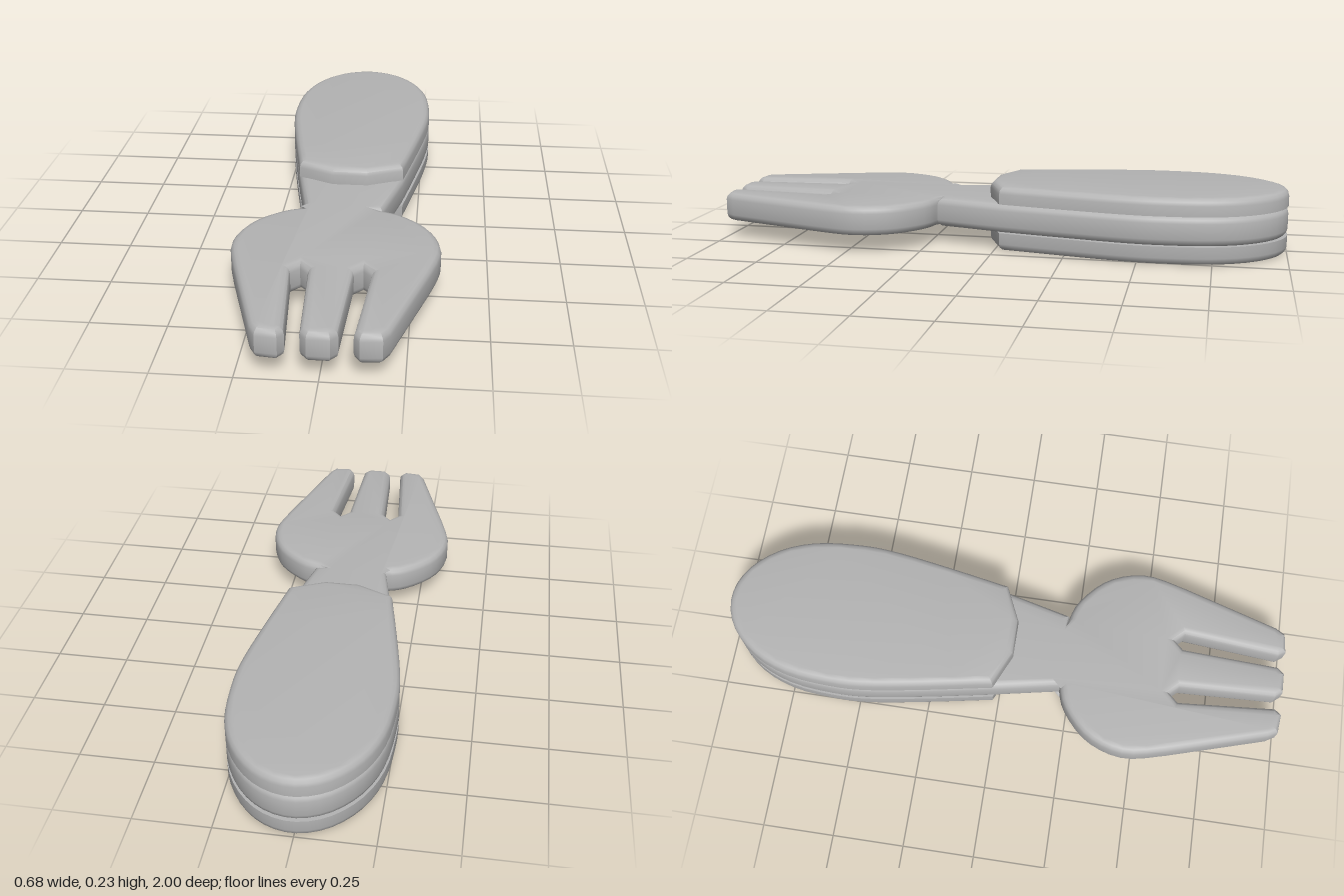
import * as THREE from 'three';
import { toCreasedNormals } from 'three/addons/utils/BufferGeometryUtils.js';

const BEVEL = 0.025;
const HANDLE_X = 0.009; // the handle sits slightly off the head's axis

// Left half of the handle from its front corner to the rear middle: [x, z]
const handleHalf = [[-0.187, -0.02], [-0.23, -0.25], [-0.262, -0.45], [-0.268, -0.58],
  [-0.252, -0.74], [-0.2, -0.87], [-0.11, -0.965], [0, -1]];
// Left half of the head, from the neck to the side of the outer tine
const shoulder = [[-0.11, 0.21], [-0.2, 0.24], [-0.3, 0.335], [-0.342, 0.47], [-0.31, 0.62]];
// Left outer tine, slot and left half of the middle tine
const tines = [[-0.205, 0.96], [-0.185, 0.993], [-0.118, 1], [-0.1, 0.975], [-0.128, 0.635],
  [-0.1, 0.605], [-0.072, 0.635], [-0.056, 0.975], [-0.035, 1]];

const mirror = (pts, cx = 0) => pts.map(([x, z]) => [2 * cx - x, z]).reverse();
const vecs = (pts, s) => pts.map(([x, z]) => new THREE.Vector2(x, z * s));

// Round rear of the handle, running from left front corner to right front corner
function handleCurve() {
  const left = handleHalf.map(([x, z]) => [x + HANDLE_X, z]);
  return [...left, ...mirror(left.slice(0, -1), HANDLE_X)];
}

// Handle plate outline with a gently bowed front edge
function scaleShape(s) {
  const pts = vecs(handleCurve(), s);
  const shape = new THREE.Shape();
  shape.moveTo(pts[0].x, pts[0].y);
  shape.splineThru(pts.slice(1));
  shape.quadraticCurveTo(HANDLE_X, 0.105 * s, pts[0].x, pts[0].y);
  return shape;
}

// Full fork outline: handle, neck, head and three tines
function forkShape(s) {
  const pts = vecs(handleCurve(), s);
  const shape = new THREE.Shape();
  shape.moveTo(pts[0].x, pts[0].y);
  shape.splineThru(pts.slice(1));
  const line = (list) => vecs(list, s).forEach((p) => shape.lineTo(p.x, p.y));
  line([[0.138, 0.215]]);
  const right = vecs(mirror(shoulder).reverse(), s);
  shape.lineTo(right[0].x, right[0].y);
  shape.splineThru(right.slice(1));
  line(mirror(tines).reverse());
  line([...tines].reverse());
  const left = vecs([...shoulder].reverse(), s);
  shape.lineTo(left[0].x, left[0].y);
  shape.splineThru(left.slice(1));
  line([[-0.13, 0.215]]);
  return shape;
}

function extrude(shape, depth) {
  return new THREE.ExtrudeGeometry(shape, {
    depth, curveSegments: 3, bevelEnabled: true, bevelSize: BEVEL,
    bevelThickness: BEVEL, bevelOffset: -BEVEL, bevelSegments: 3,
  });
}

function addPart(group, name, geometry, material) {
  const mesh = new THREE.Mesh(toCreasedNormals(geometry, 0.6), material);
  mesh.name = name;
  group.add(mesh);
  return mesh;
}

// Handle plate rounded only on its outer face; side 1 is the top, -1 the bottom
function addScale(group, name, side, y, thickness, material) {
  const geo = extrude(scaleShape(-side), thickness - BEVEL);
  const p = geo.attributes.position;
  for (let i = 0; i < p.count; i++) p.setZ(i, Math.max(0, p.getZ(i))); // flat inner face
  geo.rotateX(-side * Math.PI / 2);
  addPart(group, name, geo, material).position.y = y;
}

export function createModel() {
  const group = new THREE.Group();
  group.name = 'fork';
  const grey = new THREE.MeshStandardMaterial({ color: 0xb4b4b4 });
  grey.name = 'plain grey';

  // Middle layer, rounded on both faces
  const core = extrude(forkShape(-1), 0.104 - 2 * BEVEL);
  core.rotateX(-Math.PI / 2);
  addPart(group, 'forkBody', core, grey).position.y = 0.063 + BEVEL;

  // Handle plates above and below
  addScale(group, 'upperHandlePlate', 1, 0.166, 0.061, grey);
  addScale(group, 'lowerHandlePlate', -1, 0.064, 0.064, grey);
  return group;
}
